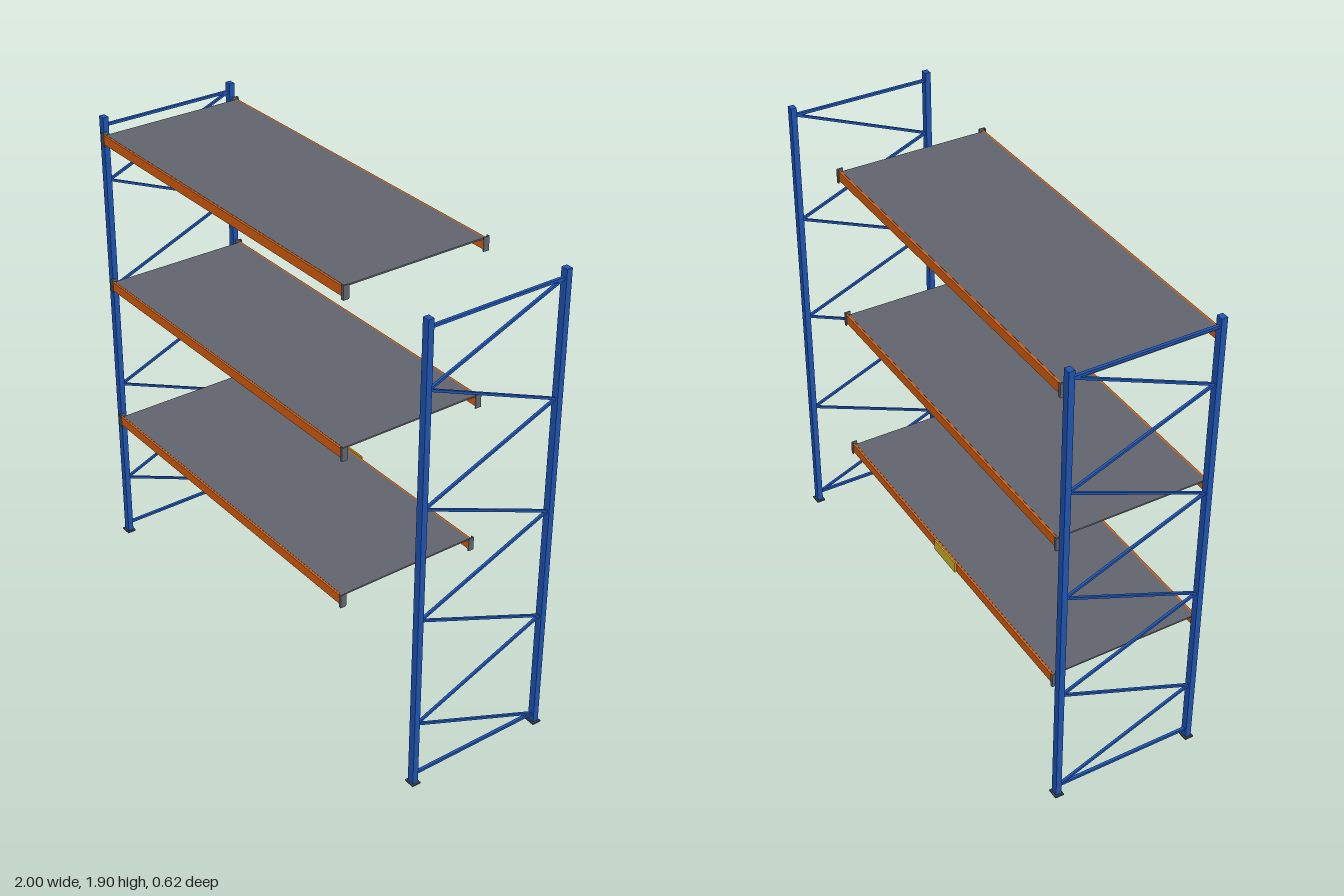
import * as THREE from 'three';

const paint = (name, color) => {
  const m = new THREE.MeshStandardMaterial({ color });
  m.name = name;
  return m;
};

export function createModel() {
  const blue = paint('upright blue', 0x1f55b5);
  const orange = paint('beam orange', 0xd9600f);
  const grey = paint('deck grey', 0x62666e);
  const steel = paint('base plate grey', 0x3a4250);
  const yellow = paint('sign yellow', 0xd8b92c);

  const box = (parent, name, mat, size, pos) => {
    const mesh = new THREE.Mesh(new THREE.BoxGeometry(...size), mat);
    mesh.name = name;
    mesh.position.set(...pos);
    parent.add(mesh);
    return mesh;
  };

  const rack = new THREE.Group();
  rack.name = 'palletRack';

  // End frames: two posts, top and bottom rails, zigzag bracing
  const postZ = 0.287, braceZ = 0.278, low = 0.04, step = 0.2287;
  for (const side of [-1, 1]) {
    const frame = new THREE.Group();
    frame.name = side < 0 ? 'rightFrame' : 'leftFrame';
    frame.position.x = side * 0.978;
    rack.add(frame);
    for (const s of [-1, 1]) {
      box(frame, 'post', blue, [0.029, 1.9, 0.023], [0, 0.955, s * postZ]);
      box(frame, 'basePlate', steel, [0.044, 0.006, 0.036], [0, 0.003, s * postZ]);
    }
    for (const y of [low, low + 8 * step])
      box(frame, 'rail', blue, [0.012, 0.01, 2 * braceZ], [0, y, 0]);
    for (let i = 0; i < 8; i++) {
      const dir = i % 2 ? -1 : 1;
      const brace = box(frame, 'diagonalBrace', blue,
        [0.01, 0.009, Math.hypot(2 * braceZ, step)], [0, low + (i + 0.5) * step, 0]);
      brace.rotation.x = -dir * Math.atan2(step, 2 * braceZ);
    }
  }

  // Shelves: deck on support bars between two beams with end brackets
  const x0 = -0.962, x1 = 0.567, midX = (x0 + x1) / 2, length = x1 - x0;
  for (const top of [0.588, 1.214, 1.84]) {
    const shelf = new THREE.Group();
    shelf.name = 'shelf';
    shelf.position.y = top;
    rack.add(shelf);
    box(shelf, 'deck', grey, [length - 0.02, 0.006, 0.594], [midX, -0.003, 0]);
    for (let i = 1; i <= 6; i++)
      box(shelf, 'supportBar', grey, [0.012, 0.011, 0.576], [x0 + (length * i) / 7, -0.0115, 0]);
    for (const s of [-1, 1]) {
      box(shelf, 'beam', orange, [length, 0.033, 0.018], [midX, -0.0225, s * 0.296]);
      box(shelf, 'beamLip', orange, [length, 0.005, 0.008], [midX, -0.0035, s * 0.301]);
      // L-shaped end brackets
      for (const [x, inward] of [[x0, 1], [x1, -1]]) {
        box(shelf, 'endPlate', grey, [0.005, 0.055, 0.024], [x, -0.02, s * 0.298]);
        box(shelf, 'endFlange', grey, [0.012, 0.055, 0.004], [x + inward * 0.004, -0.02, s * 0.308]);
      }
    }
  }

  // Load sign on the rear beam of the lowest shelf
  box(rack, 'loadSign', yellow, [0.155, 0.046, 0.006], [-0.2, 0.57, -0.309]);

  return rack;
}
